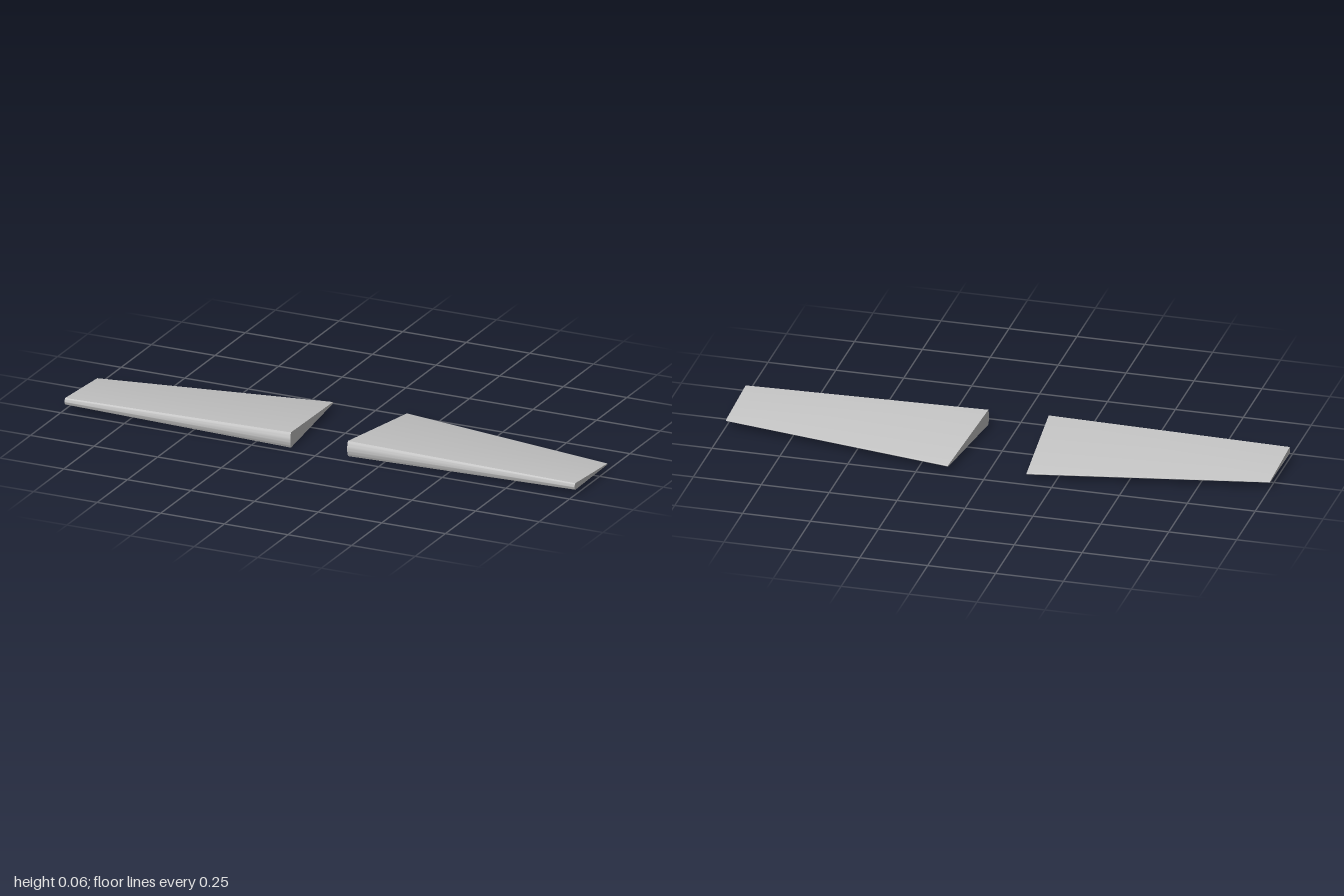
import * as THREE from 'three';
import { toCreasedNormals } from 'three/addons/utils/BufferGeometryUtils.js';

// Closed wedge cross-section: rounded nose at the front, thin rounded trailing edge
function section({ xFront, xBack, front, back, yMid, half, yBack, halfBack }) {
  const pts = [];
  const add = (z, y) => {
    const t = (front - z) / (front - back);
    pts.push([xFront + (xBack - xFront) * t, y, z]);
  };
  const bulge = 0.006, noseSteps = 10, tailSteps = 6;
  for (let i = 0; i <= noseSteps; i++) {          // nose, bottom to top
    const s = -1 + (2 * i) / noseSteps;
    add(front - bulge * s * s, yMid + half * s);
  }
  for (let i = 0; i <= tailSteps; i++) {          // trailing edge, top to bottom
    const a = Math.PI * (0.5 - i / tailSteps);
    add(back + halfBack * (1 - Math.cos(a)), yBack + halfBack * Math.sin(a));
  }
  return pts;
}

// Loft between root and tip sections, with caps at both ends
function loft(root, tip, flip) {
  const n = root.length, index = [];
  const tri = (a, b, c) => (flip ? index.push(a, c, b) : index.push(a, b, c));
  for (let i = 0; i < n; i++) {
    const j = (i + 1) % n;
    tri(i, n + i, n + j);
    tri(i, n + j, j);
  }
  const outline = root.map((p) => new THREE.Vector2(p[2], p[1]));
  for (const [a, b, c] of THREE.ShapeUtils.triangulateShape(outline, [])) {
    tri(a, b, c);
    tri(n + a, n + c, n + b);
  }
  const g = new THREE.BufferGeometry();
  g.setAttribute('position', new THREE.Float32BufferAttribute([...root, ...tip].flat(), 3));
  g.setIndex(index);
  return toCreasedNormals(g, Math.PI / 6);
}

export function createModel() {
  const grey = new THREE.MeshStandardMaterial({ color: 0xc4c4c4 });
  grey.name = 'light grey';
  const group = new THREE.Group();
  group.name = 'controlSurfaces';

  // The two panels mirror each other, the right one set slightly forward
  for (const [name, side, dx, dz] of [['leftPanel', 1, 0, 0], ['rightPanel', -1, 0.006, 0.011]]) {
    const root = section({
      xFront: side * (0.106 + dx), xBack: side * (0.14 + dx), front: 0.208 + dz, back: -0.218 + dz,
      yMid: 0.029, half: 0.029, yBack: 0.021, halfBack: 0.003,
    });
    const tip = section({
      xFront: side, xBack: side, front: 0.208 + dz, back: -0.065 + dz,
      yMid: 0.031, half: 0.0125, yBack: 0.025, halfBack: 0.002,
    });
    const mesh = new THREE.Mesh(loft(root, tip, side < 0), grey);
    mesh.name = name;
    group.add(mesh);
  }
  return group;
}
